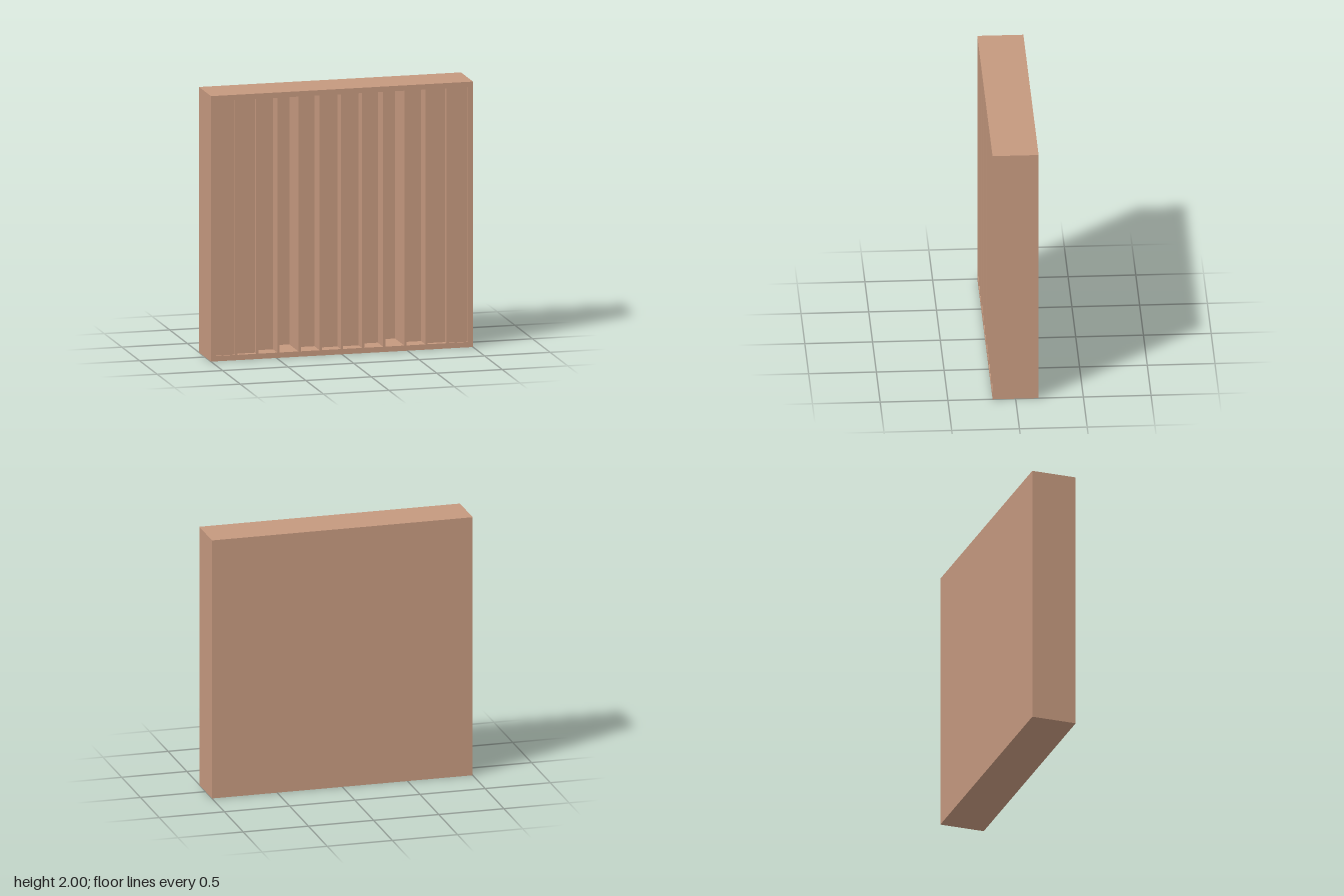
import * as THREE from 'three';

const HEIGHT = 2, WIDTH = 2, DEPTH = 0.34;
const BORDER = 0.04, DIVIDER = 0.0175;
// Well depths follow squares modulo 11: 0 1 4 9 5 3 3 5 9 4 1 0
const WELLS = Array.from({ length: 12 }, (_, n) => (n * n) % 11);
const REVEAL = 0.013, STEP = 0.0275;

// Box without its +z face; inward turns the faces towards the inside
function openBox(w, h, d, inward = false) {
  const geometry = new THREE.BoxGeometry(w, h, d);
  const index = Array.from(geometry.index.array).filter((_, i) => i < 24 || i >= 30);
  if (inward) {
    index.reverse();
    const normal = geometry.attributes.normal;
    for (let i = 0; i < normal.array.length; i++) normal.array[i] *= -1;
  }
  geometry.clearGroups();
  geometry.setIndex(index);
  return geometry;
}

function rectangle(path, x0, y0, x1, y1) {
  path.moveTo(x0, y0);
  path.lineTo(x1, y0);
  path.lineTo(x1, y1);
  path.lineTo(x0, y1);
  path.closePath();
  return path;
}

export function createModel() {
  const model = new THREE.Group();
  model.name = 'wellPanel';
  const wood = new THREE.MeshStandardMaterial({ color: 0xc4987e });
  wood.name = 'warm wood';

  const add = (name, geometry, x, y, z) => {
    const mesh = new THREE.Mesh(geometry, wood);
    mesh.name = name;
    mesh.position.set(x, y, z);
    model.add(mesh);
  };

  // Outer sides and back
  add('outerCase', openBox(WIDTH, HEIGHT, DEPTH), 0, HEIGHT / 2, 0);

  // Front rim and divider edges, with one opening per well
  const face = rectangle(new THREE.Shape(), -WIDTH / 2, 0, WIDTH / 2, HEIGHT);
  const count = WELLS.length;
  const wellWidth = (WIDTH - 2 * BORDER - (count - 1) * DIVIDER) / count;
  const wellHeight = HEIGHT - 2 * BORDER;

  // Wells of varying depth
  WELLS.forEach((n, i) => {
    const left = -WIDTH / 2 + BORDER + i * (wellWidth + DIVIDER);
    const depth = REVEAL + n * STEP;
    face.holes.push(rectangle(new THREE.Path(), left, BORDER, left + wellWidth, HEIGHT - BORDER));
    add(`well${i + 1}`, openBox(wellWidth, wellHeight, depth, true),
      left + wellWidth / 2, HEIGHT / 2, DEPTH / 2 - depth / 2);
  });
  add('frontFrame', new THREE.ShapeGeometry(face), 0, 0, DEPTH / 2);

  return model;
}
